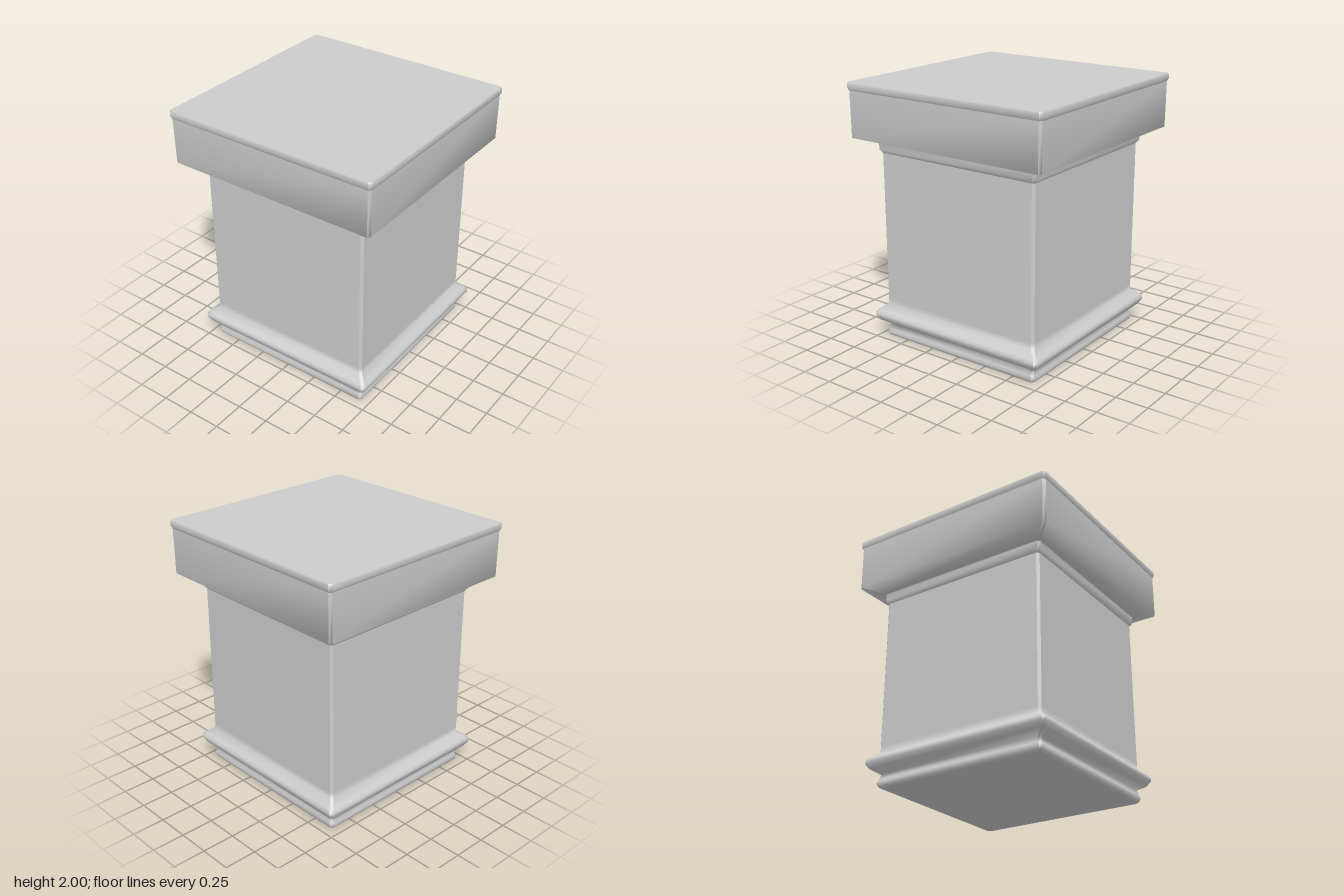
import * as THREE from 'three';

const CHAMFER = 0.018;

// Square ring with clipped corners, counter-clockwise seen from above
function ring(half, y) {
  const a = half, b = half - CHAMFER;
  return [[b, a], [a, b], [a, -b], [b, -a], [-b, -a], [-a, -b], [-a, b], [-b, a]]
    .map(([x, z]) => [x, y, z]);
}

// Stacks rings along a [half width, height] profile; shading is smooth up the
// profile but breaks at each corner because every side has its own vertices.
function moulding(profile) {
  const rings = profile.map(([half, y]) => ring(half, y));
  const positions = [], index = [];
  for (let side = 0; side < 8; side++) {
    const start = positions.length / 3;
    rings.forEach((r, i) => {
      positions.push(...r[side], ...r[(side + 1) % 8]);
      if (i === 0) return;
      const k = start + i * 2;
      index.push(k - 2, k - 1, k + 1, k - 2, k + 1, k);
    });
  }
  const geometry = new THREE.BufferGeometry();
  geometry.setAttribute('position', new THREE.Float32BufferAttribute(positions, 3));
  geometry.setIndex(index);
  geometry.computeVertexNormals();
  return geometry;
}

// Flat horizontal face closing the stack
function closingFace(half, y, up) {
  const shape = new THREE.Shape(ring(half, 0).map(([x, , z]) => new THREE.Vector2(x, z)));
  const geometry = new THREE.ShapeGeometry(shape);
  geometry.rotateX(up ? -Math.PI / 2 : Math.PI / 2);
  geometry.translate(0, y, 0);
  return geometry;
}

export function createModel() {
  const model = new THREE.Group();
  model.name = 'pedestal';
  const stone = new THREE.MeshStandardMaterial({ color: 0xcccccc });
  stone.name = 'grey stone';

  const add = (name, geometry) => {
    const mesh = new THREE.Mesh(geometry, stone);
    mesh.name = name;
    model.add(mesh);
  };

  // Foot with a small bead, a groove and a large rounded bead
  add('baseMoulding', moulding([
    [0.67, 0], [0.685, 0.01], [0.695, 0.035], [0.685, 0.06], [0.672, 0.1],
    [0.735, 0.14], [0.757, 0.175], [0.757, 0.2], [0.74, 0.22], [0.684, 0.265], [0.684, 0.31],
  ]));
  add('shaft', moulding([[0.684, 0.31], [0.684, 1.47]]));
  // Neck bead flaring out to the underside of the slab
  add('capital', moulding([
    [0.684, 1.47], [0.703, 1.495], [0.703, 1.545], [0.71, 1.552], [0.84, 1.59],
    [0.842, 1.94],
  ]));
  // Thin lip around the top of the slab
  add('capitalLip', moulding([
    [0.842, 1.94], [0.852, 1.96], [0.852, 1.99], [0.845, 2],
  ]));
  add('topFace', closingFace(0.845, 2, true));
  add('bottomFace', closingFace(0.67, 0, false));
  return model;
}
